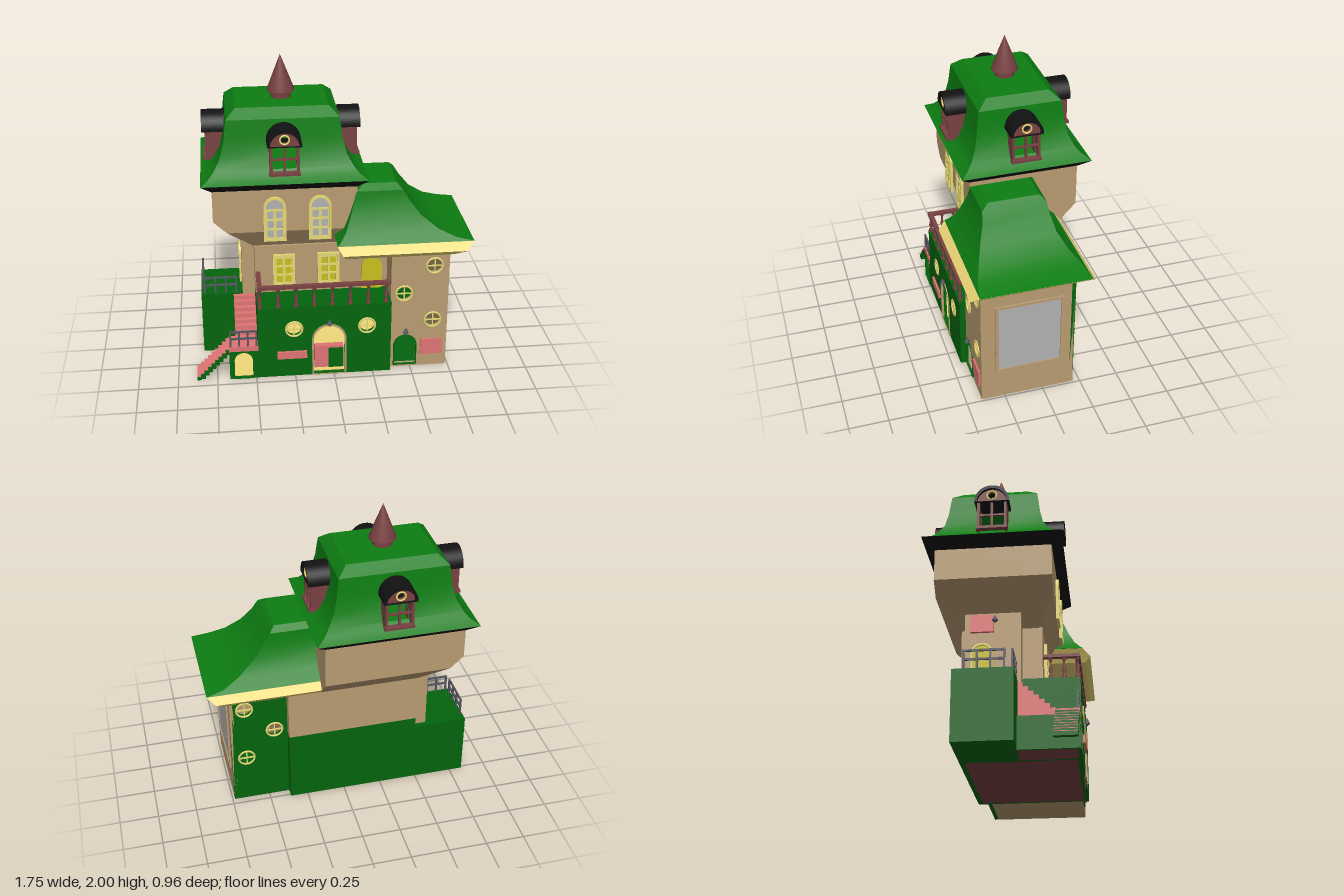
import * as THREE from 'three';
import { toCreasedNormals } from 'three/addons/utils/BufferGeometryUtils.js';
import { ConvexGeometry } from 'three/addons/geometries/ConvexGeometry.js';

const C = { roof: 0x0d7d12, green: 0x04640e, tan: 0xb99c72, yellow: 0xe6d874, eave: 0xf0d878, lime: 0xc8c020,
  maroon: 0x7a4242, pink: 0xe07474, black: 0x121212, glass: 0xb2b2b2, iron: 0x555560 };

export function createModel() {
  const root = new THREE.Group();
  const mats = {};
  const mat = c => mats[c] ??= new THREE.MeshStandardMaterial({ color: C[c], side: THREE.DoubleSide });
  const add = (name, geo, c, parent = root) => {
    const m = new THREE.Mesh(geo, mat(c));
    m.name = name;
    parent.add(m);
    return m;
  };
  const box = (name, c, x0, x1, y0, y1, z0, z1, parent = root) =>
    add(name, new THREE.BoxGeometry(x1 - x0, y1 - y0, z1 - z0).translate((x0 + x1) / 2, (y0 + y1) / 2, (z0 + z1) / 2), c, parent);
  const group = (name, x, y, z, ry = 0, parent = root) => {
    const g = new THREE.Group();
    g.name = name;
    g.position.set(x, y, z);
    g.rotation.y = ry;
    parent.add(g);
    return g;
  };

  // Outlines: rectangle, arch (round top) and circle
  const poly = (P, pts) => new P(pts.map(p => new THREE.Vector2(...p)));
  const rect = (x0, x1, y0, y1, P = THREE.Path) => poly(P, [[x0, y0], [x1, y0], [x1, y1], [x0, y1]]);
  const arch = (x, w, y0, y1, P = THREE.Path) => {
    const r = w / 2, s = new P();
    s.moveTo(x - r, y0); s.lineTo(x + r, y0); s.lineTo(x + r, y1 - r);
    s.absarc(x, y1 - r, r, 0, Math.PI, false);
    s.lineTo(x - r, y0);
    return s;
  };
  const circle = (x, y, r) => new THREE.Path().absarc(x, y, r, 0, Math.PI * 2, false);
  const slab = (name, c, shape, holes, z0, depth, parent = root) => {
    shape.holes = holes;
    return add(name, new THREE.ExtrudeGeometry(shape, { depth, bevelEnabled: false, curveSegments: 14 }).translate(0, 0, z0), c, parent);
  };

  // Rectangular loft through rings [y, x0, x1, z0, z1]; gap leaves dormer openings mid-side
  const loft = (rings, gap) => {
    const v = [];
    const corners = ([y, x0, x1, z0, z1]) => [[x0, z1], [x1, z1], [x1, z0], [x0, z0]].map(([x, z]) => new THREE.Vector3(x, y, z));
    const quad = (a, b, c, d) => [a, b, c, a, c, d].forEach(p => v.push(p.x, p.y, p.z));
    rings.slice(1).forEach((r, i) => {
      const lo = corners(rings[i]), hi = corners(r);
      for (let k = 0; k < 4; k++) {
        const a = lo[k], b = lo[(k + 1) % 4], A = hi[k], B = hi[(k + 1) % 4];
        if (gap && rings[i][0] >= gap.y0 && r[0] <= gap.y1) {
          const at = (p, q, d) => p.clone().lerp(q, 0.5 + d / p.distanceTo(q));
          quad(a, at(a, b, -gap.half), at(A, B, -gap.half), A);
          quad(at(a, b, gap.half), b, B, at(A, B, gap.half));
        } else quad(a, b, B, A);
      }
    });
    quad(...corners(rings.at(-1)));
    quad(...corners(rings[0]).reverse());
    const g = new THREE.BufferGeometry();
    g.setAttribute('position', new THREE.Float32BufferAttribute(v, 3));
    return toCreasedNormals(g, 0.55);
  };

  // Hollow green base with arched shop door
  const portholes = [[-0.255, 0.345], [0.21, 0.345]];
  slab('baseFrontWall', 'green', rect(-0.485, 0.365, 0, 0.5, THREE.Shape),
    [arch(-0.032, 0.2, 0.005, 0.36), ...portholes.map(p => circle(...p, 0.05))], 0.41, 0.03);
  box('baseBackWall', 'green', -0.485, 0.365, 0, 0.5, -0.265, -0.235);
  box('baseLeftWall', 'green', -0.485, -0.465, 0, 0.5, -0.235, 0.41);
  box('baseRightWall', 'green', 0.345, 0.365, 0, 0.5, -0.235, 0.41);
  box('terraceFloor', 'green', -0.465, 0.345, 0.475, 0.5, -0.235, 0.41);
  box('foundation', 'maroon', -0.465, 0.345, 0, 0.006, -0.235, 0.41);
  box('shopFloor', 'eave', -0.465, 0.345, 0.006, 0.012, -0.235, 0.41);
  slab('shopDoorTrim', 'tan', arch(-0.032, 0.22, 0, 0.37, THREE.Shape), [arch(-0.032, 0.196, 0.004, 0.358)], 0.43, 0.016);
  box('shopCounter', 'pink', -0.12, 0.066, 0.012, 0.17, 0.34, 0.38);
  box('counterFront', 'green', -0.03, 0.066, 0.012, 0.155, 0.38, 0.385);
  box('shopSign', 'pink', -0.365, -0.175, 0.135, 0.185, 0.44, 0.455);

  const roundWindow = (x, y, z) => {
    const g = group('roundWindow', x, y, z);
    add('ring', new THREE.TorusGeometry(0.052, 0.007, 6, 28), 'yellow', g);
    box('bar', 'yellow', -0.05, 0.05, -0.004, 0.004, -0.004, 0.004, g);
    box('post', 'yellow', -0.004, 0.004, -0.05, 0.05, -0.004, 0.004, g);
    return g;
  };
  portholes.forEach(([x, y]) => roundWindow(x, y, 0.44));

  // Lower side block, landing, and the two flights of stairs
  box('sideBlock', 'green', -0.835, -0.485, 0, 0.43, -0.265, 0.085);
  slab('landingFront', 'green', rect(-0.67, -0.485, 0, 0.2, THREE.Shape), [arch(-0.58, 0.12, 0.005, 0.195)], 0.42, 0.02);
  slab('landingArchTrim', 'green', arch(-0.58, 0.13, 0, 0.199, THREE.Shape), [arch(-0.58, 0.116, 0.004, 0.192)], 0.435, 0.01);
  box('landingSide', 'green', -0.67, -0.655, 0, 0.2, 0.085, 0.42);
  box('landingFloor', 'maroon', -0.655, -0.485, 0, 0.006, 0.085, 0.42);
  box('landingInnerFloor', 'eave', -0.655, -0.485, 0.006, 0.01, 0.085, 0.42);
  box('landing', 'pink', -0.67, -0.485, 0.2, 0.235, 0.3, 0.44);
  for (let i = 0; i < 9; i++) {
    const x = -0.88 + i * 0.0235, y = 0.024 * (i + 1);
    box('lowerStep', 'green', x, x + 0.03, Math.max(0, y - 0.04), y, 0.3, 0.435);
    box('lowerTread', 'pink', x, x + 0.026, y, y + 0.004, 0.3, 0.435);
  }
  for (let i = 0; i < 7; i++)
    box('upperStep', 'pink', -0.625, -0.485, 0.2, 0.26 + i * 0.027, 0.085, 0.3 - i * 0.031);

  // Iron fences: n posts and three rails along local x
  const fence = (x, y, z, len, h, ry) => {
    const g = group('fence', x, y, z, ry);
    for (let i = 0; i < 4; i++) {
      const px = i * len / 3;
      box('post', 'iron', px - 0.006, px + 0.006, 0, h, -0.006, 0.006, g);
    }
    [0.5, 0.95].forEach(f => box('rail', 'iron', 0, len, h * f - 0.006, h * f + 0.006, -0.005, 0.005, g));
  };
  fence(-0.81, 0.43, 0.075, 0.205, 0.12, 0);
  fence(-0.82, 0.43, 0.03, 0.23, 0.12, Math.PI / 2);
  fence(-0.66, 0.235, 0.43, 0.165, 0.11, 0);

  // Terrace balustrade with turned balusters
  const turned = [[0.014, 0], [0.014, 0.02], [0.007, 0.03], [0.013, 0.055], [0.006, 0.09], [0.006, 0.11], [0.013, 0.12], [0.013, 0.14]]
    .map(p => new THREE.Vector2(...p));
  const baluster = (x, z) => add('baluster', new THREE.LatheGeometry(turned, 10).translate(x, 0.5, z), 'maroon');
  for (let i = 0; i < 8; i++) baluster(-0.467 + i * 0.114, 0.425);
  for (let i = 1; i < 3; i++) baluster(-0.467, 0.425 - i * 0.08);
  box('frontHandrail', 'maroon', -0.485, 0.355, 0.632, 0.652, 0.41, 0.44);
  box('sideHandrail', 'maroon', -0.482, -0.452, 0.632, 0.652, 0.22, 0.41);

  // Tower: lower storey, side porch, overhanging upper storey
  box('lowerStorey', 'tan', -0.485, 0.365, 0.5, 0.83, -0.265, 0.22);
  box('sidePorch', 'tan', -0.565, -0.485, 0.43, 0.9, -0.235, 0.1);
  const hull = [];
  for (const [z, zb] of [[0.3, 0.2], [-0.4, -0.262]])
    hull.push([-0.735, 1.26, z], [-0.735, 1.05, z], [-0.65, 0.97, z], [0.155, 1.26, z], [0.155, 0.97, z], [-0.485, 0.825, zb], [0.155, 0.825, zb]);
  add('upperStorey', new ConvexGeometry(hull.map(p => new THREE.Vector3(...p))), 'tan');

  const casement = (x, y0, y1, z, arched, pane) => {
    const g = group('casementWindow', x, 0, z), w = 0.14;
    const make = (ww, a, b, P) => arched ? arch(0, ww, a, b, P) : rect(-ww / 2, ww / 2, a, b, P);
    slab('pane', pane, make(w - 0.01, y0, y1 - 0.005, THREE.Shape), [], 0, 0.006, g);
    slab('frame', 'yellow', make(w, y0, y1, THREE.Shape), [make(w - 0.03, y0 + 0.015, y1 - 0.015)], 0, 0.018, g);
    const top = arched ? y1 - 0.08 : y1 - 0.015;
    [[-0.008, 0.008], [-0.055, -0.047], [0.047, 0.055]].forEach(([a, b]) => box('stile', 'yellow', a, b, y0 + 0.01, top, 0, 0.014, g));
    for (let i = 0; i < 4; i++) {
      const y = y0 + 0.015 + (top - y0 - 0.022) * i / 3;
      box('bar', 'yellow', -0.055, 0.055, y - 0.006, y + 0.006, 0, 0.014, g);
    }
  };
  [-0.355, -0.075].forEach(x => casement(x, 0.91, 1.205, 0.3, true, 'glass'));
  [-0.3, -0.015].forEach(x => casement(x, 0.55, 0.77, 0.22, false, 'lime'));
  slab('terraceDoor', 'lime', arch(0.265, 0.13, 0.5, 0.72, THREE.Shape), [], 0.22, 0.012);
  add('fanlight', new THREE.CircleGeometry(0.038, 20).translate(0.265, 0.77, 0.226), 'lime');
  roundWindow(0.265, 0.77, 0.226).scale.setScalar(0.72);

  // Porch door, hanging sign and bell on the left side
  const porch = group('porchDoor', -0.565, 0, -0.13, -Math.PI / 2);
  slab('door', 'lime', arch(0, 0.11, 0.43, 0.69, THREE.Shape), [], 0, 0.004, porch);
  slab('doorTrim', 'yellow', arch(0, 0.13, 0.43, 0.7, THREE.Shape), [arch(0, 0.105, 0.434, 0.688)], 0, 0.014, porch);
  box('porchSign', 'pink', -0.07, 0.07, 0.77, 0.88, 0, 0.018, porch);
  const lamp = (x, y, z) => {
    add('lampShade', new THREE.ConeGeometry(0.018, 0.04, 12).translate(x, y, z), 'iron');
    add('lampBulb', new THREE.SphereGeometry(0.011, 10, 8).translate(x, y - 0.022, z), 'iron');
  };
  lamp(-0.605, 0.85, -0.05);
  lamp(-0.03, 0.395, 0.455);
  lamp(0.465, 0.28, 0.42);

  // Mansard roof, black eave and spire
  const around = rows => rows.map(([y, hx, hz]) => [y, -0.29 - hx, -0.29 + hx, -0.055 - hz, -0.055 + hz]);
  add('towerEave', loft(around([[1.25, 0.445, 0.353], [1.31, 0.51, 0.418]])), 'black');
  add('towerRoof', loft(around([[1.311, 0.51, 0.418], [1.345, 0.455, 0.365], [1.38, 0.425, 0.335], [1.45, 0.385, 0.3],
    [1.55, 0.36, 0.28], [1.62, 0.352, 0.272], [1.675, 0.345, 0.265], [1.73, 0.285, 0.2]]), { y0: 1.38, y1: 1.62, half: 0.075 }), 'roof');
  add('spire', toCreasedNormals(new THREE.LatheGeometry([[0.062, 1.73], [0.062, 1.76], [0.085, 1.77], [0.083, 1.785], [0, 2]]
    .map(p => new THREE.Vector2(...p)), 24), 0.5).translate(-0.285, 0, -0.055), 'maroon');

  // Four barrel-roofed dormers
  for (let k = 0; k < 4; k++) {
    const a = k * Math.PI / 2, d = k % 2 ? 0.485 : 0.405;
    const g = group('dormer', -0.29 + Math.sin(a) * d, 0, -0.055 + Math.cos(a) * d, a);
    slab('barrelRoof', 'black', arch(0, 0.21, 1.545, 1.655, THREE.Shape), [arch(0, 0.178, 1.546, 1.635)], -0.15, 0.158, g);
    slab('dormerFront', 'maroon', arch(0, 0.18, 1.36, 1.636, THREE.Shape),
      [rect(-0.073, 0.073, 1.38, 1.545), circle(0, 1.59, 0.027)], -0.03, 0.02, g);
    [-0.09, 0.078].forEach(x => box('cheek', 'maroon', x, x + 0.012, 1.36, 1.55, -0.15, -0.012, g));
    box('mullion', 'maroon', -0.007, 0.007, 1.38, 1.545, -0.026, -0.012, g);
    box('transom', 'maroon', -0.073, 0.073, 1.455, 1.467, -0.026, -0.012, g);
    box('sill', 'maroon', -0.095, 0.095, 1.36, 1.378, -0.03, 0.005, g);
    add('roundelTrim', new THREE.TorusGeometry(0.028, 0.006, 6, 20).translate(0, 1.59, -0.002), 'yellow', g);
  }

  // Gallery wing: hollow walls with aligned round windows front and back
  const rounds = [[0.64, 0.73], [0.45, 0.54], [0.64, 0.34]];
  const holes = () => rounds.map(p => circle(...p, 0.05));
  slab('wingFrontWall', 'tan', rect(0.365, 0.735, 0, 0.835, THREE.Shape), [arch(0.465, 0.145, 0.02, 0.23), ...holes()], 0.375, 0.025);
  slab('wingBackWall', 'green', rect(0.365, 0.735, 0, 0.835, THREE.Shape), holes(), -0.205, 0.025);
  box('wingRightWall', 'tan', 0.71, 0.735, 0, 0.835, -0.205, 0.4);
  box('wingLeftWall', 'tan', 0.365, 0.38, 0, 0.835, -0.18, 0.375);
  box('wingFloor', 'tan', 0.365, 0.71, 0, 0.012, -0.18, 0.375);
  box('wingInnerFloor', 'green', 0.38, 0.71, 0.012, 0.02, -0.18, 0.375);
  rounds.forEach(([x, y]) => [0.4, -0.205].forEach(z => roundWindow(x, y, z)));
  slab('wingDoorTrim', 'green', arch(0.465, 0.152, 0.015, 0.236, THREE.Shape), [arch(0.465, 0.14, 0.022, 0.228)], 0.395, 0.014);
  box('gallerySign', 'pink', 0.565, 0.705, 0.09, 0.2, 0.4, 0.412);
  const display = group('displayWindow', 0.735, 0, 0.09, Math.PI / 2);
  box('displayGlass', 'glass', -0.205, 0.205, 0.225, 0.705, 0, 0.004, display);
  slab('displayFrame', 'tan', rect(-0.22, 0.22, 0.21, 0.715, THREE.Shape), [rect(-0.2, 0.2, 0.228, 0.698)], 0, 0.012, display);

  // Wing roof with flared eaves
  add('wingEave', loft([[0.83, 0.07, 0.75, -0.265, 0.45], [0.865, 0.05, 0.825, -0.296, 0.485], [0.91, 0.02, 0.875, -0.258, 0.438]]), 'eave');
  add('wingRoof', loft([[0.911, 0.02, 0.875, -0.258, 0.438], [0.935, 0.045, 0.76, -0.235, 0.42], [0.98, 0.078, 0.655, -0.185, 0.385],
    [1.06, 0.108, 0.55, -0.135, 0.345], [1.15, 0.135, 0.48, -0.112, 0.31], [1.215, 0.15, 0.44, -0.105, 0.3], [1.25, 0.2, 0.405, -0.07, 0.255]]), 'roof');
  return root;
}
